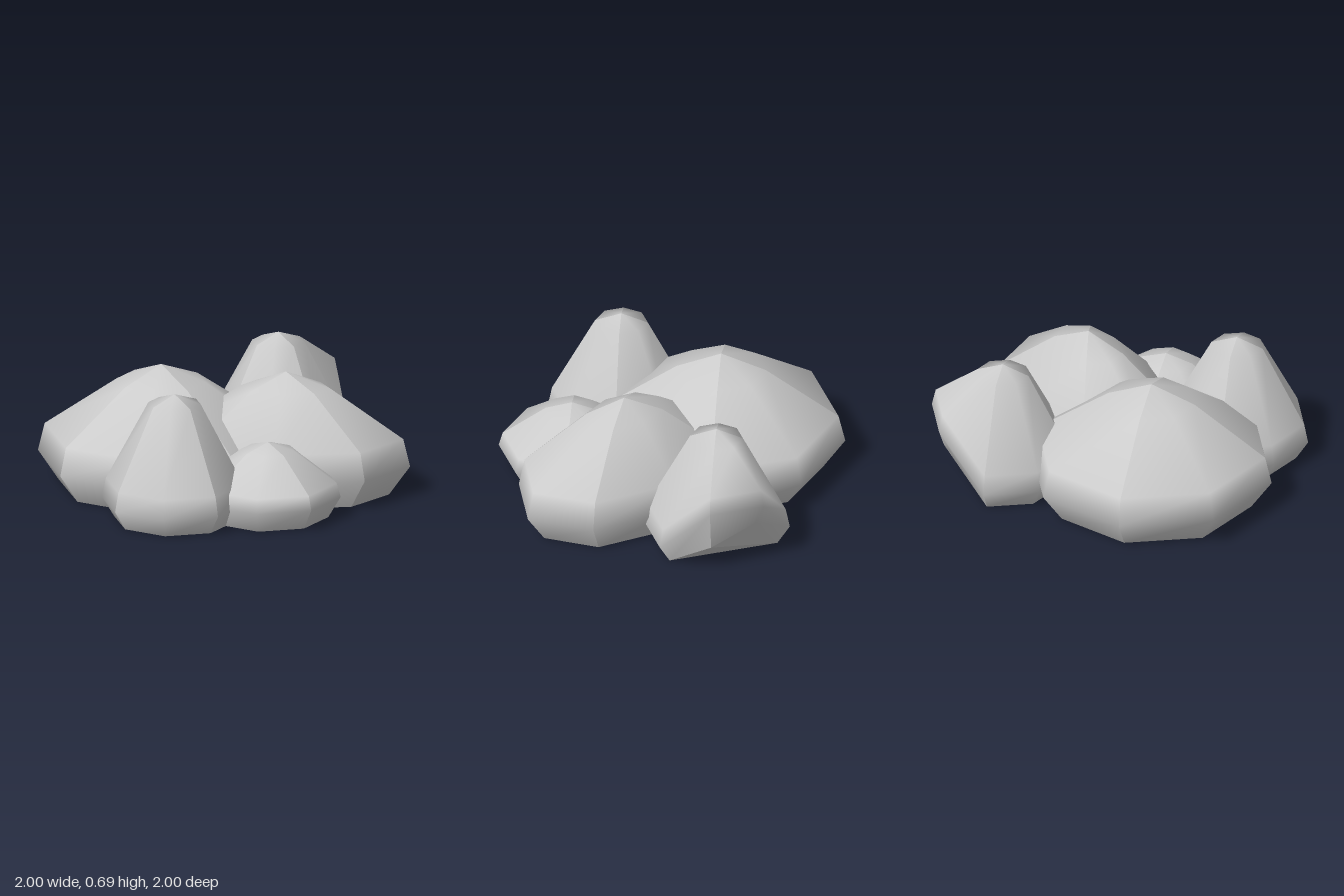
import * as THREE from 'three';

const SIDES = 8;
// Ring radii from base to apex, as fractions of the widest radius
const RADII = [0.83, 1, 0.945, 0.36, 0];

// heights: y of each ring; lift: { side: [extra y per ring] } raises single corners
const ROCKS = [
  { name: 'largeLeftRock', x: -0.34, z: -0.01, rx: 0.66, rz: 0.66, heights: [0, 0.16, 0.31, 0.575, 0.665] },
  { name: 'wideRightRock', x: 0.33, z: -0.01, rx: 0.665, rz: 0.435, heights: [0, 0.16, 0.31, 0.57, 0.655] },
  { name: 'frontRock', x: -0.17, z: 0.61, rx: 0.39, rz: 0.39, heights: [0, 0.105, 0.21, 0.64, 0.69] },
  { name: 'smallFrontRock', x: 0.305, z: 0.45, rx: 0.39, rz: 0.39, heights: [0, 0.115, 0.19, 0.358, 0.4] },
  {
    name: 'backRock', x: 0.195, z: -0.61, rx: 0.39, rz: 0.39, heights: [0, 0.105, 0.21, 0.64, 0.69],
    lift: { 6: [0.26, 0.285, 0.27, 0, 0], 7: [0.15, 0.285, 0.27, 0, 0] },
  },
];

function makeGeometry(positions, index) {
  const geometry = new THREE.BufferGeometry();
  geometry.setAttribute('position', new THREE.Float32BufferAttribute(positions, 3));
  geometry.setIndex(index);
  geometry.computeVertexNormals();
  return geometry;
}

// Corner of a rock at a given ring and side
function corner(rock, ring, side) {
  const k = side % SIDES;
  const angle = (k / SIDES) * Math.PI * 2;
  return [
    rock.rx * RADII[ring] * Math.cos(angle),
    rock.heights[ring] + (rock.lift?.[k]?.[ring] ?? 0),
    rock.rz * RADII[ring] * Math.sin(angle),
  ];
}

// One smooth quarter of the rock, two faces wide, with hard ridges at its edges
function quarterGeometry(rock, firstSide) {
  const positions = [], index = [];
  const last = RADII.length - 1;
  for (let ring = 0; ring < last; ring++) {
    for (let i = 0; i < 3; i++) positions.push(...corner(rock, ring, firstSide + i));
  }
  const apex = last * 3;
  positions.push(...corner(rock, last, 0));
  for (let ring = 0; ring < last; ring++) {
    for (let i = 0; i < 2; i++) {
      const a = ring * 3 + i;
      if (ring === last - 1) index.push(a, apex, a + 1);
      else index.push(a, a + 3, a + 1, a + 1, a + 3, a + 4);
    }
  }
  return makeGeometry(positions, index);
}

// Underside, fanned from one corner so lifted corners leave sloping facets
function baseGeometry(rock) {
  const positions = [], index = [];
  const start = 5;
  for (let i = 1; i < SIDES - 1; i++) {
    for (const side of [start, start + i, start + i + 1]) {
      index.push(index.length);
      positions.push(...corner(rock, 0, side));
    }
  }
  return makeGeometry(positions, index);
}

export function createModel() {
  const model = new THREE.Group();
  model.name = 'rockCluster';
  const material = new THREE.MeshStandardMaterial({ color: 0xcccccc });

  for (const rock of ROCKS) {
    const group = new THREE.Group();
    group.name = rock.name;
    group.position.set(rock.x, 0, rock.z);
    // Ridges run along the diagonals
    for (let side = 1; side < SIDES; side += 2) {
      const quarter = new THREE.Mesh(quarterGeometry(rock, side), material);
      quarter.name = 'rockSide';
      group.add(quarter);
    }
    const base = new THREE.Mesh(baseGeometry(rock), material);
    base.name = 'rockBase';
    group.add(base);
    model.add(group);
  }
  return model;
}
